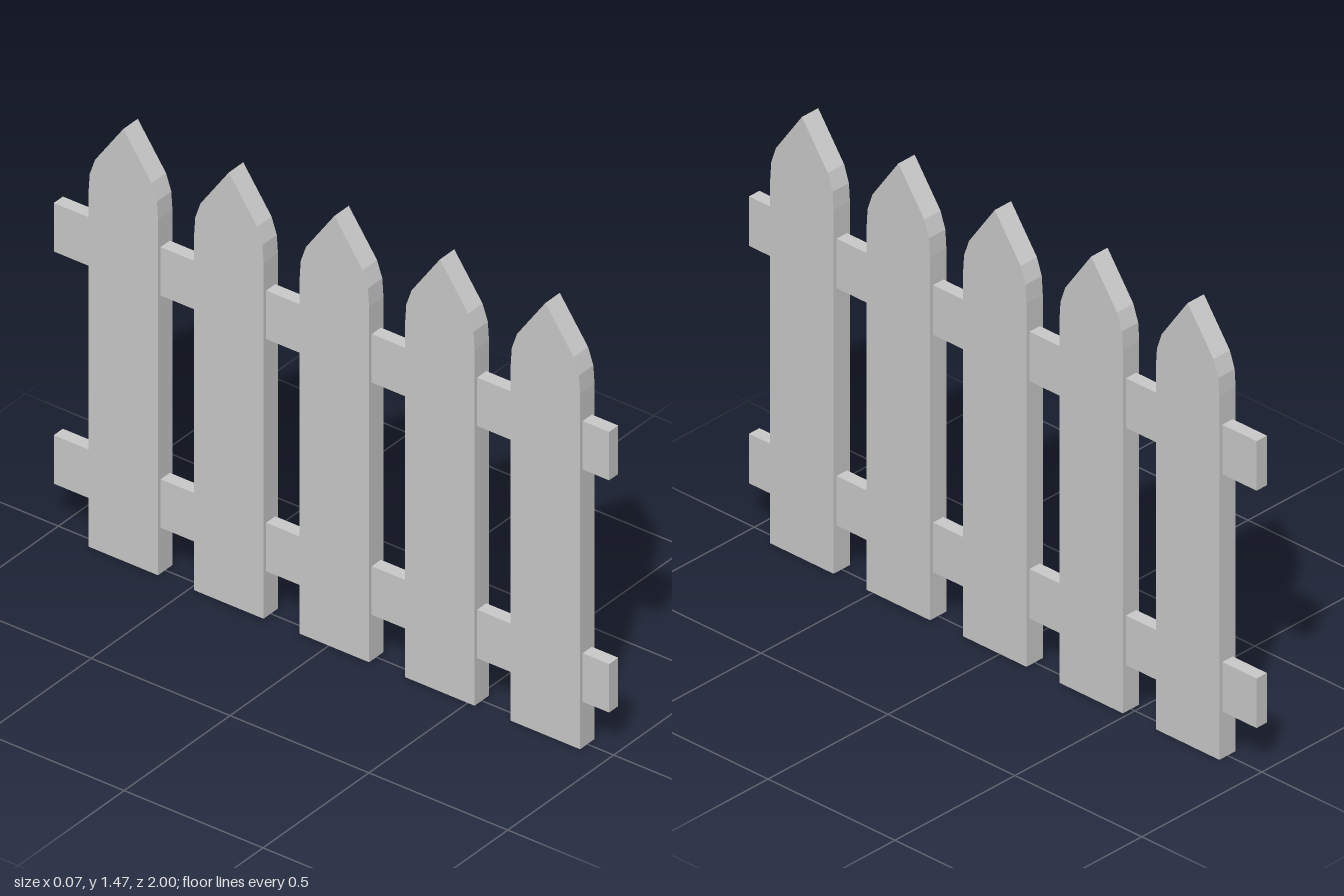
import * as THREE from 'three';

const PICKET_DEPTH = 0.068;
const RAIL_DEPTH = 0.043;

// Pointed board with softened shoulders, its broad faces towards +x and -x
function picketGeometry() {
  const half = [[0.125, 0], [0.125, 1.21], [0.121, 1.27], [0.102, 1.325]];
  const mirrored = half.map(([z, y]) => [-z, y]).reverse();
  const outline = [...half, [0, 1.47], ...mirrored].map(([z, y]) => new THREE.Vector2(z, y));
  const geometry = new THREE.ExtrudeGeometry(new THREE.Shape(outline), {
    depth: PICKET_DEPTH,
    bevelEnabled: false,
  });
  geometry.translate(0, 0, -PICKET_DEPTH / 2);
  geometry.rotateY(-Math.PI / 2);
  return geometry;
}

export function createModel() {
  const fence = new THREE.Group();
  fence.name = 'picketFence';
  const material = new THREE.MeshStandardMaterial({ color: 0xcccccc, flatShading: true });

  // Five evenly spaced pickets, set slightly towards the front end
  const picket = picketGeometry();
  for (let i = 0; i < 5; i++) {
    const mesh = new THREE.Mesh(picket, material);
    mesh.name = `picket${i + 1}`;
    mesh.position.z = 0.78 - i * 0.38;
    fence.add(mesh);
  }

  // Two rails running through the pickets
  const rail = new THREE.BoxGeometry(RAIL_DEPTH, 0.165, 2);
  for (const [name, y] of [['lowerRail', 0.238], ['upperRail', 1.028]]) {
    const mesh = new THREE.Mesh(rail, material);
    mesh.name = name;
    mesh.position.y = y;
    fence.add(mesh);
  }

  return fence;
}
